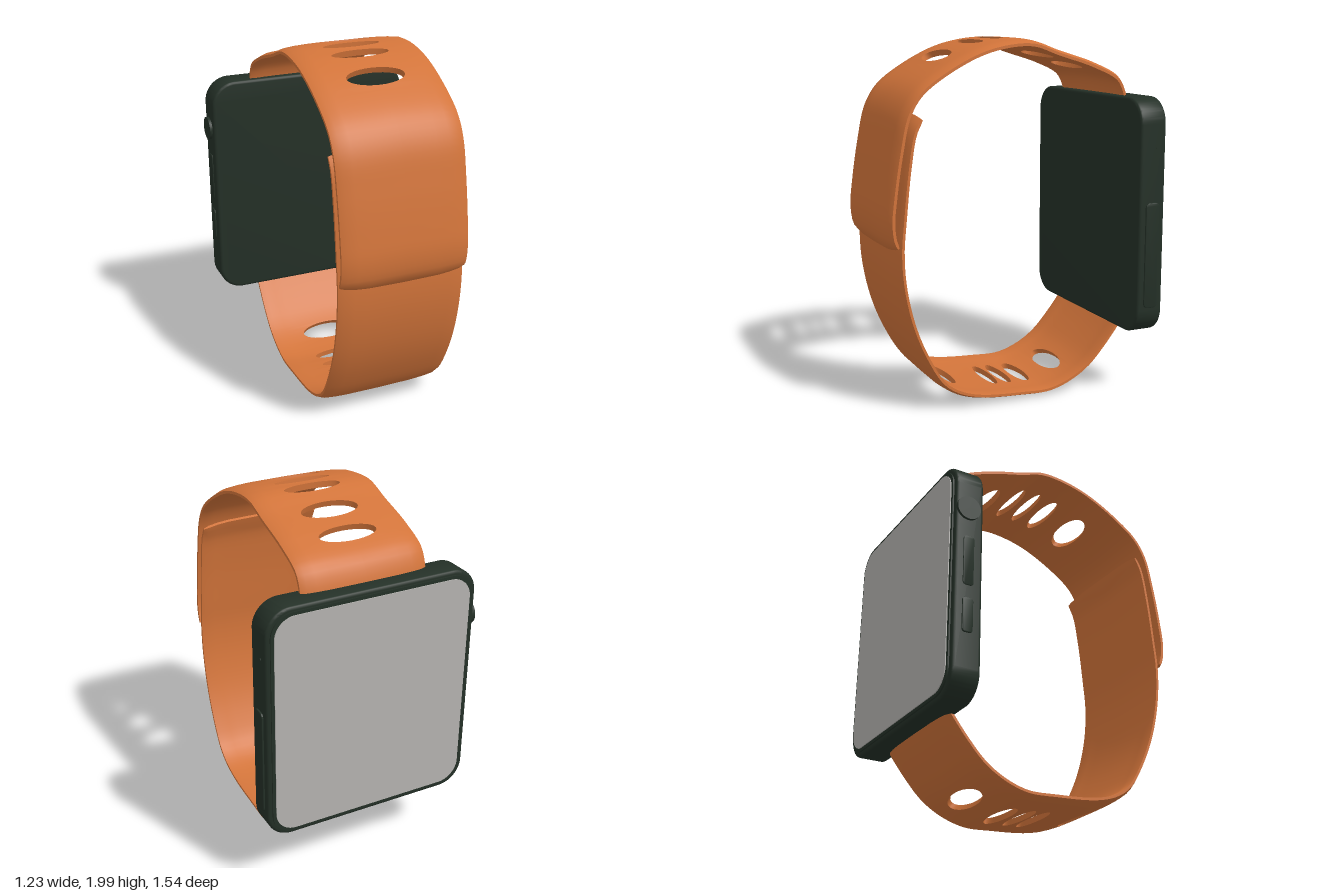
import * as THREE from 'three';
import { toCreasedNormals } from 'three/addons/utils/BufferGeometryUtils.js';

const HALF_WIDTH = 0.357;

// Bent band with oval holes: half cross-sections swept along a (z, y) path and mirrored.
// holes: [z position, half length]; found along the path in its direction of travel.
function bandGeometry(points, { thickness, lift, holes, from, to, endRow }) {
  const curve = new THREE.CatmullRomCurve3(points.map(([z, y]) => new THREE.Vector3(0, y, z)));
  curve.arcLengthDivisions = 600;
  const length = curve.getLength();
  const frame = (u) => {
    const p = curve.getPointAt(u), t = curve.getTangentAt(u);
    return { p, t, n: new THREE.Vector3(0, t.z, -t.y) };
  };
  // locate each hole on the path
  const spans = holes.map(([z, half]) => {
    let best = from, miss = 9;
    for (let u = from; u <= to; u += 0.001) {
      const d = Math.abs(curve.getPointAt(u).z - z);
      if (d < miss) { miss = d; best = u; }
    }
    return { u: best, half: half / length };
  });
  const rows = [];
  for (let i = 0; i <= 64; i++) {
    const u = i / 64;
    if (!spans.some((s) => Math.abs(u - s.u) < s.half + 0.002)) rows.push({ u, h: 0 });
  }
  for (const s of spans) {
    for (let k = 0; k <= 14; k++) {
      const a = (k / 14) * Math.PI;
      rows.push({ u: s.u - Math.cos(a) * s.half, h: k % 14 ? 0.163 * Math.sin(a) : 0 });
    }
  }
  rows.sort((a, b) => a.u - b.u);

  // cross-section loop of one half: outer face out to the edge, inner face back
  const loops = rows.map(({ u, h }, i) => {
    const { p, t, n } = frame(u);
    const isEnd = i === (endRow === 'last' ? rows.length - 1 : 0);
    const xs = [h, 0.2, 0.27, 0.325, HALF_WIDTH];
    const place = (x, side) => {
      const r = (x / HALF_WIDTH) ** 4;
      const thick = (thickness / 2) * (isEnd ? 0.5 : 1) * (x === HALF_WIDTH ? 0.45 : 1);
      const back = isEnd ? 0.02 * r * (endRow === 'last' ? -1 : 1) : 0;
      const v = p.clone().addScaledVector(n, lift + side * thick - 0.016 * r).addScaledVector(t, back);
      v.x = x;
      return v;
    };
    return [...xs.map((x) => place(x, 1)), ...xs.slice().reverse().map((x) => place(x, -1))];
  });

  const pos = [];
  const quad = (a, b, c, d) => {
    for (const v of [a, b, c, a, c, d]) pos.push(v.x, v.y, v.z);
    for (const v of [a, c, b, a, d, c]) pos.push(-v.x, v.y, v.z);
  };
  for (let i = 0; i < rows.length - 1; i++) {
    const A = loops[i], B = loops[i + 1];
    for (let j = 0; j < 10; j++) {
      if (j === 9 && rows[i].h === 0 && rows[i + 1].h === 0) continue; // no wall outside holes
      const k = (j + 1) % 10;
      quad(A[j], B[j], B[k], A[k]);
    }
  }
  const first = loops[0], last = loops[loops.length - 1];
  for (let j = 0; j < 4; j++) {
    quad(first[j], first[j + 1], first[8 - j], first[9 - j]);
    quad(last[j], last[9 - j], last[8 - j], last[j + 1]);
  }
  const g = new THREE.BufferGeometry();
  g.setAttribute('position', new THREE.Float32BufferAttribute(pos, 3));
  return toCreasedNormals(g, 0.6);
}

function roundedRect(w, h, r) {
  const s = new THREE.Shape(), x = w / 2, y = h / 2;
  s.absarc(x - r, y - r, r, 0, Math.PI / 2);
  s.absarc(-x + r, y - r, r, Math.PI / 2, Math.PI);
  s.absarc(-x + r, -y + r, r, Math.PI, Math.PI * 1.5);
  s.absarc(x - r, -y + r, r, Math.PI * 1.5, Math.PI * 2);
  s.closePath();
  return s;
}

// Rounded slab centred on the origin, thin along z
function slab(w, h, d, r, bevel) {
  const g = new THREE.ExtrudeGeometry(roundedRect(w - 2 * bevel, h - 2 * bevel, r - bevel), {
    depth: d - 2 * bevel, bevelEnabled: bevel > 0, bevelSize: bevel,
    bevelThickness: bevel, bevelSegments: 4, curveSegments: 10,
  });
  g.translate(0, 0, -(d - 2 * bevel) / 2);
  return toCreasedNormals(g, 0.6);
}

export function createModel() {
  const orange = new THREE.MeshStandardMaterial({ color: 0xd2743a });
  orange.name = 'strapOrange';
  const dark = new THREE.MeshStandardMaterial({ color: 0x243027 });
  dark.name = 'caseDarkGreen';
  const grey = new THREE.MeshStandardMaterial({ color: 0xb4b2af });
  grey.name = 'screenGrey';

  const model = new THREE.Group();
  model.name = 'wristwatch';
  const add = (name, geometry, material, x = 0, y = 0, z = 0) => {
    const m = new THREE.Mesh(geometry, material);
    m.name = name;
    m.position.set(x, y, z);
    model.add(m);
    return m;
  };

  // upper strap, running over the top and down the front to its free end
  add('upperStrap', bandGeometry([
    [-0.67, 1.63], [-0.655, 1.7], [-0.605, 1.79], [-0.44, 1.873], [-0.23, 1.94], [-0.08, 1.99], [0.06, 1.99],
    [0.247, 1.947], [0.47, 1.835], [0.6, 1.735], [0.67, 1.62], [0.715, 1.43],
    [0.752, 1.2], [0.766, 1.06], [0.755, 0.96], [0.73, 0.9],
  ], {
    thickness: 0.034, lift: -0.017, from: 0, to: 0.55, endRow: 'last',
    holes: [[-0.46, 0.056], [-0.27, 0.064], [-0.08, 0.042], [0.035, 0.034], [0.155, 0.041], [0.35, 0.066]],
  }), orange);

  // lower strap, from its tucked-in tip down the front and along the bottom
  add('lowerStrap', bandGeometry([
    [0.575, 1.615], [0.62, 1.53], [0.655, 1.345], [0.685, 1.08], [0.7, 0.9], [0.688, 0.71],
    [0.64, 0.495], [0.565, 0.31], [0.47, 0.155], [0.38, 0.09], [0.25, 0.048], [0, 0.025],
    [-0.18, 0.022], [-0.31, 0.062], [-0.43, 0.135], [-0.54, 0.25], [-0.63, 0.365], [-0.66, 0.41],
  ], {
    thickness: 0.031, lift: 0, from: 0.45, to: 1, endRow: 'first',
    holes: [[-0.335, 0.06], [-0.13, 0.045], [-0.015, 0.038], [0.07, 0.036], [0.34, 0.055]],
  }), orange);

  // case and screen, facing the back
  add('case', slab(1.2, 1.315, 0.16, 0.14, 0.018), dark, 0, 1.02, -0.665);
  add('screenRim', slab(1.15, 1.265, 0.012, 0.125, 0), dark, 0, 1.02, -0.747);
  add('screen', slab(1.115, 1.23, 0.009, 0.115, 0), grey, 0, 1.02, -0.7535);

  // controls on the sides of the case
  const sideKey = (name, x, y, h, w) => {
    add(name, slab(w, h, 0.024, w * 0.3, 0.004), dark, x, y, -0.667).rotation.y = Math.PI / 2;
  };
  sideKey('longSideKey', 0.597, 0.815, 0.59, 0.085);
  sideKey('upperSideKey', -0.593, 1.09, 0.28, 0.06);
  sideKey('lowerSideKey', -0.595, 0.785, 0.19, 0.06);
  const crown = add('crown', new THREE.CylinderGeometry(0.066, 0.066, 0.03, 28), dark, -0.6, 1.39, -0.675);
  crown.rotation.z = Math.PI / 2;
  const pinhole = add('pinhole', new THREE.CylinderGeometry(0.009, 0.009, 0.006, 12), dark, 0.6, 1.405, -0.69);
  pinhole.rotation.z = Math.PI / 2;

  // slight turn of the whole watch
  model.rotation.y = -0.022;
  const root = new THREE.Group();
  root.name = 'watch';
  root.add(model);
  return root;
}
